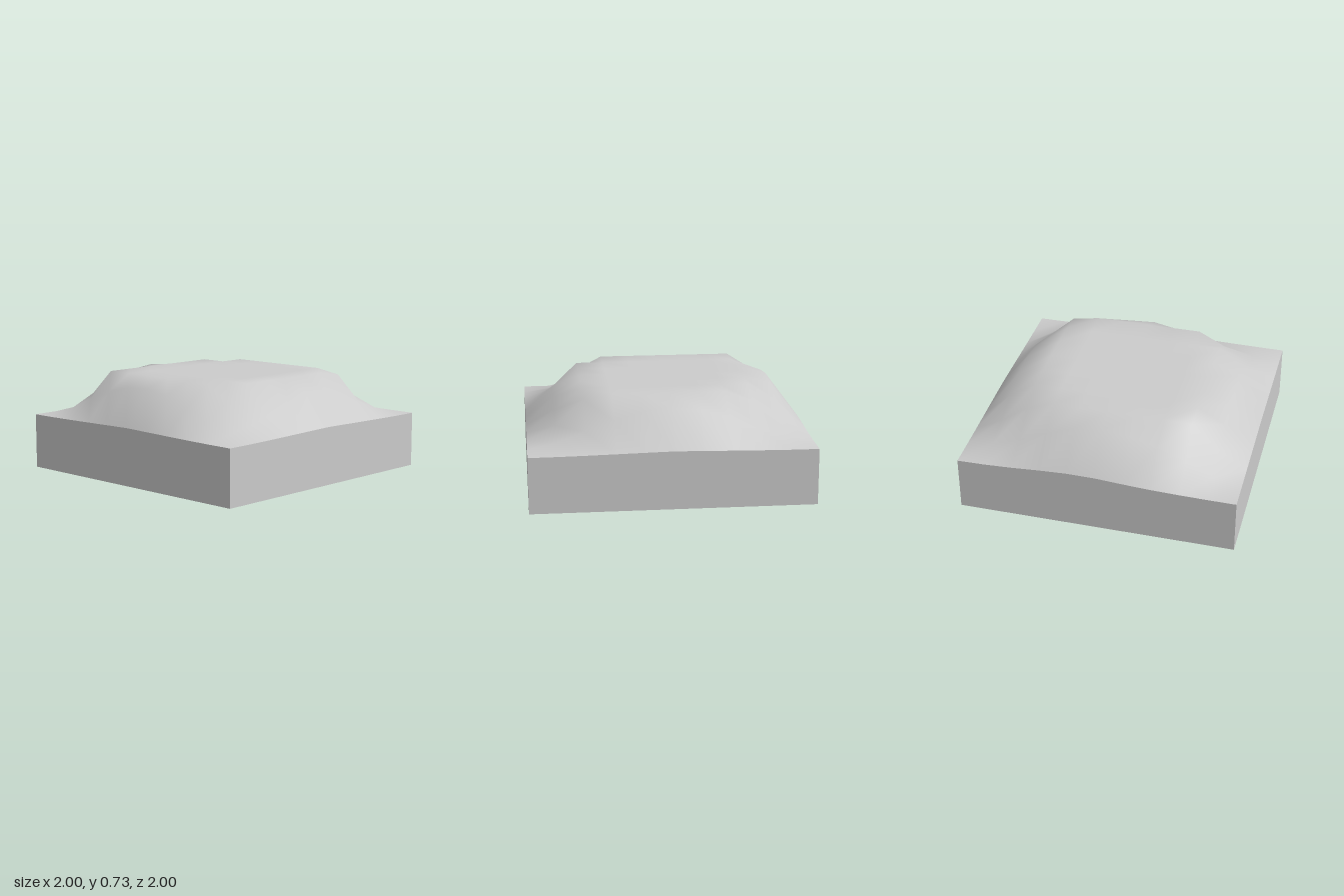
import * as THREE from 'three';

const BASE = 0.4, PLATEAU = 0.325;

// soft round spot used for local dents
const spot = (x, z, cx, cz, r) => Math.exp(-((x - cx) ** 2 + (z - cz) ** 2) / (r * r));

// height of the mound above the slab: a flat-topped hill, steeper at the front, with two worn corners
function moundHeight(x, z) {
  const p = Math.max(0, (1 - x * x) * (1 - z * z));
  let h = 1.45 * Math.pow(p, 1.7) * (1 - 0.17 * z);
  h *= 1 - 0.36 * spot(x, z, -0.5, 0.75, 0.3);
  h *= 1 - 0.33 * spot(x, z, 0.65, -0.65, 0.25);
  // slight swell along the outer rim, strongest at the back
  const rim = 0.015 * Math.cos(x * z * Math.PI / 2) * (1 - Math.abs(x * z));
  const back = z < -0.95 ? 0.025 * spot(x, 0, 0.2, 0, 0.4) : 0;
  return Math.min(PLATEAU, h + rim + back);
}

export function createModel() {
  const group = new THREE.Group();
  group.name = 'terrainTile';

  // square slab whose top grid is raised into the mound
  const geo = new THREE.BoxGeometry(2, BASE, 2, 10, 1, 10);
  geo.translate(0, BASE / 2, 0);
  const pos = geo.attributes.position;
  for (let i = 0; i < pos.count; i++) {
    if (pos.getY(i) > BASE / 2) pos.setY(i, BASE + moundHeight(pos.getX(i), pos.getZ(i)));
  }
  geo.computeVertexNormals();

  const tile = new THREE.Mesh(geo, new THREE.MeshStandardMaterial({ color: 0xcccccc }));
  tile.name = 'hillBlock';
  group.add(tile);
  return group;
}
